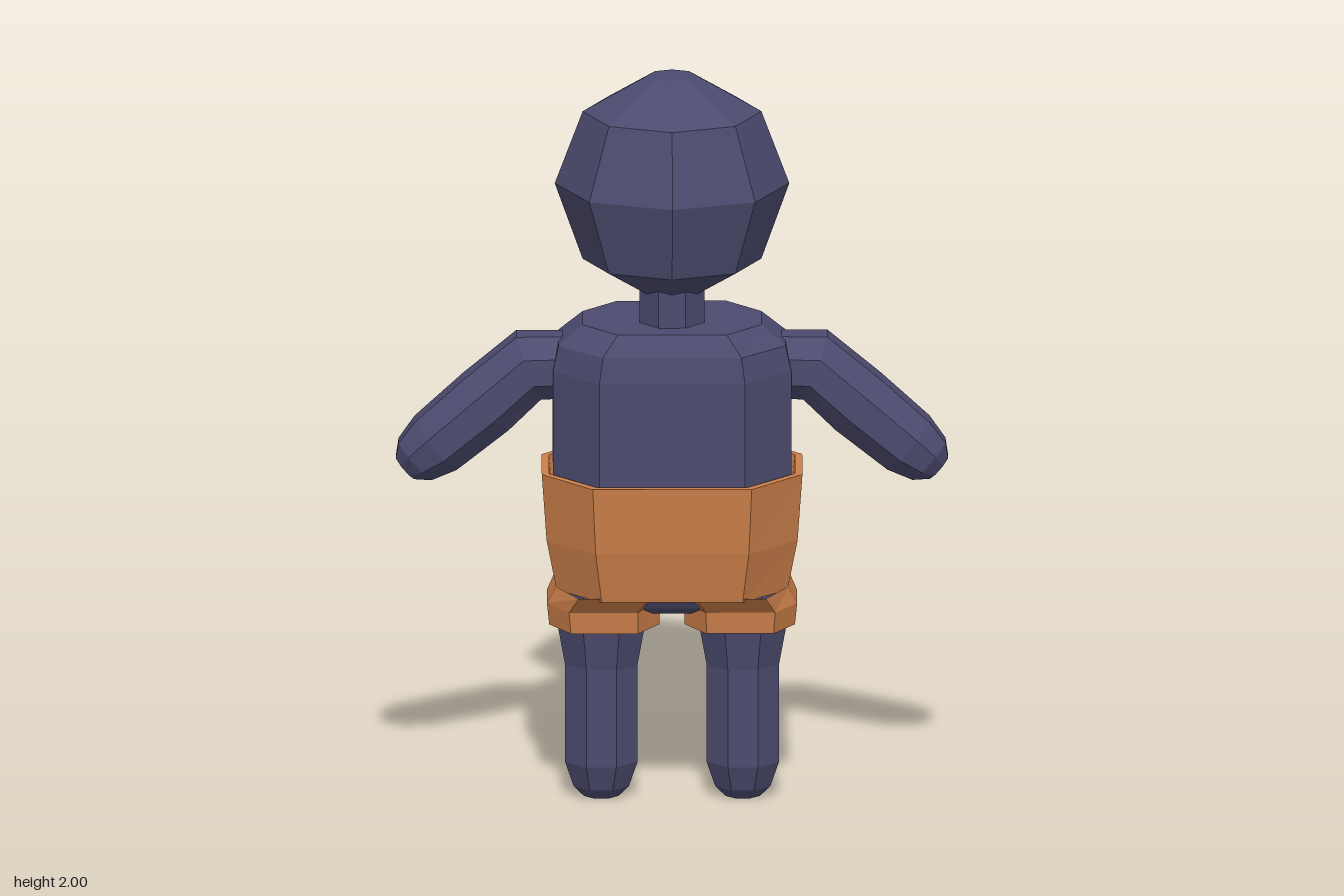
import * as THREE from 'three';

const body = new THREE.MeshStandardMaterial({ color: 0x4c4b6f, flatShading: true });
body.name = 'slate blue body';
const cloth = new THREE.MeshStandardMaterial({ color: 0xcb7f49, flatShading: true, side: THREE.DoubleSide });
cloth.name = 'orange cloth';

// Skin a list of equal-length rings, optionally closing both ends
function loft(name, material, rings, capped = true) {
  const n = rings[0].length, index = [];
  const points = rings.flat();
  for (let r = 0; r < rings.length - 1; r++) {
    for (let i = 0; i < n; i++) {
      const j = (i + 1) % n, a = r * n + i, b = r * n + j;
      index.push(a, b, b + n, a, b + n, a + n);
    }
  }
  if (capped) {
    const last = (rings.length - 1) * n;
    for (let i = 1; i < n - 1; i++) index.push(0, i + 1, i, last, last + i, last + i + 1);
  }
  const indexed = new THREE.BufferGeometry().setFromPoints(points);
  indexed.setIndex(index);
  const geometry = indexed.toNonIndexed();
  geometry.computeVertexNormals();
  const mesh = new THREE.Mesh(geometry, material);
  mesh.name = name;
  return mesh;
}

// Level octagon with a corner facing front
function round(y, rx, rz, cx = 0, cz = 0, turn = 0) {
  return Array.from({ length: 8 }, (_, i) => {
    const t = i * Math.PI / 4 + turn;
    return new THREE.Vector3(cx + rx * Math.sin(t), y, cz + rz * Math.cos(t));
  });
}

// Level box outline with cut corners, flat side facing front
function cut(y, hx, hz, cx = 0, cz = 0) {
  const kx = hx * 0.61, kz = hz * 0.4;
  return [[kx, hz], [hx, kz], [hx, -kz], [kx, -hz], [-kx, -hz], [-hx, -kz], [-hx, kz], [-kx, hz]]
    .map(([x, z]) => new THREE.Vector3(cx + x, y, cz + z));
}

// Octagon across the arm; angle is the heading of the arm in the xy plane
function armRing(x, y, r, angle, side) {
  const ring = Array.from({ length: 8 }, (_, i) => {
    const t = (i + 0.5) * Math.PI / 4, u = r * 1.08 * Math.cos(t);
    return new THREE.Vector3(side * (x - u * Math.sin(angle)), y + u * Math.cos(angle), -0.01 + r * 1.08 * Math.sin(t));
  });
  return side < 0 ? ring.reverse() : ring;
}

export function createModel() {
  const model = new THREE.Group();
  model.name = 'figure';

  // Head and neck
  model.add(loft('head', body, [
    round(1.4, 0.08, 0.08), round(1.49, 0.24, 0.22), round(1.7, 0.315, 0.278),
    round(1.9, 0.24, 0.22), round(2, 0.065, 0.06),
  ]));
  model.add(loft('neck', body, [
    round(1.28, 0.095, 0.115, 0, 0, Math.PI / 8), round(1.45, 0.095, 0.115, 0, 0, Math.PI / 8),
  ]));

  // Torso, tucked into the shorts
  model.add(loft('torso', body, [
    cut(0.53, 0.17, 0.1), cut(0.56, 0.24, 0.16), cut(0.61, 0.29, 0.19), cut(0.9, 0.32, 0.22),
    cut(1.2, 0.32, 0.22), cut(1.27, 0.305, 0.21), cut(1.325, 0.24, 0.175),
  ]));

  // Waist of the shorts, with a rim that folds inward
  model.add(loft('shortsWaist', cloth, [
    cut(0.59, 0.31, 0.215, 0, -0.005), cut(0.73, 0.337, 0.245, 0, -0.01), cut(0.915, 0.35, 0.26, 0, -0.01),
    cut(0.915, 0.33, 0.24, 0, -0.01), cut(0.75, 0.315, 0.222, 0, -0.01),
  ], false));

  // Loose flap on the back
  model.add(loft('backFlap', cloth, [-0.002, 0.002].map((d) => [
    new THREE.Vector3(0.1, 0.49, -0.25 + d), new THREE.Vector3(0.225, 0.89, -0.28 + d),
    new THREE.Vector3(-0.2, 0.87, -0.28 + d), new THREE.Vector3(-0.09, 0.51, -0.25 + d),
  ])));

  for (const side of [1, -1]) {
    const label = side > 0 ? 'left' : 'right';

    // Leg of the shorts with a hollow cuff
    model.add(loft(label + 'ShortsLeg', cloth, [
      cut(0.55, 0.115, 0.125, side * 0.185), cut(0.49, 0.125, 0.14, side * 0.185),
      cut(0.49, 0.148, 0.162, side * 0.182), cut(0.55, 0.152, 0.168, side * 0.184),
      cut(0.6, 0.156, 0.215, side * 0.156, -0.005),
    ], false));

    // Leg with a rounded foot
    const leg = [[0, 0.05], [0.03, 0.08], [0.1, 0.105], [0.37, 0.105], [0.5, 0.13], [0.6, 0.13]];
    model.add(loft(label + 'Leg', body,
      leg.map(([y, r]) => round(y, r, r, side * 0.19, 0, Math.PI / 8))));

    // Arm bent at the shoulder, with a rounded hand
    const arm = [
      [0.24, 1.195, 0.085, 0], [0.385, 1.192, 0.093, -0.36], [0.5, 1.09, 0.093, -0.71],
      [0.635, 0.975, 0.087, -0.71], [0.69, 0.93, 0.068, -0.71], [0.717, 0.907, 0.038, -0.71],
    ];
    model.add(loft(label + 'Arm', body, arm.map(([x, y, r, a]) => armRing(x, y, r, a, side))));
  }
  return model;
}
